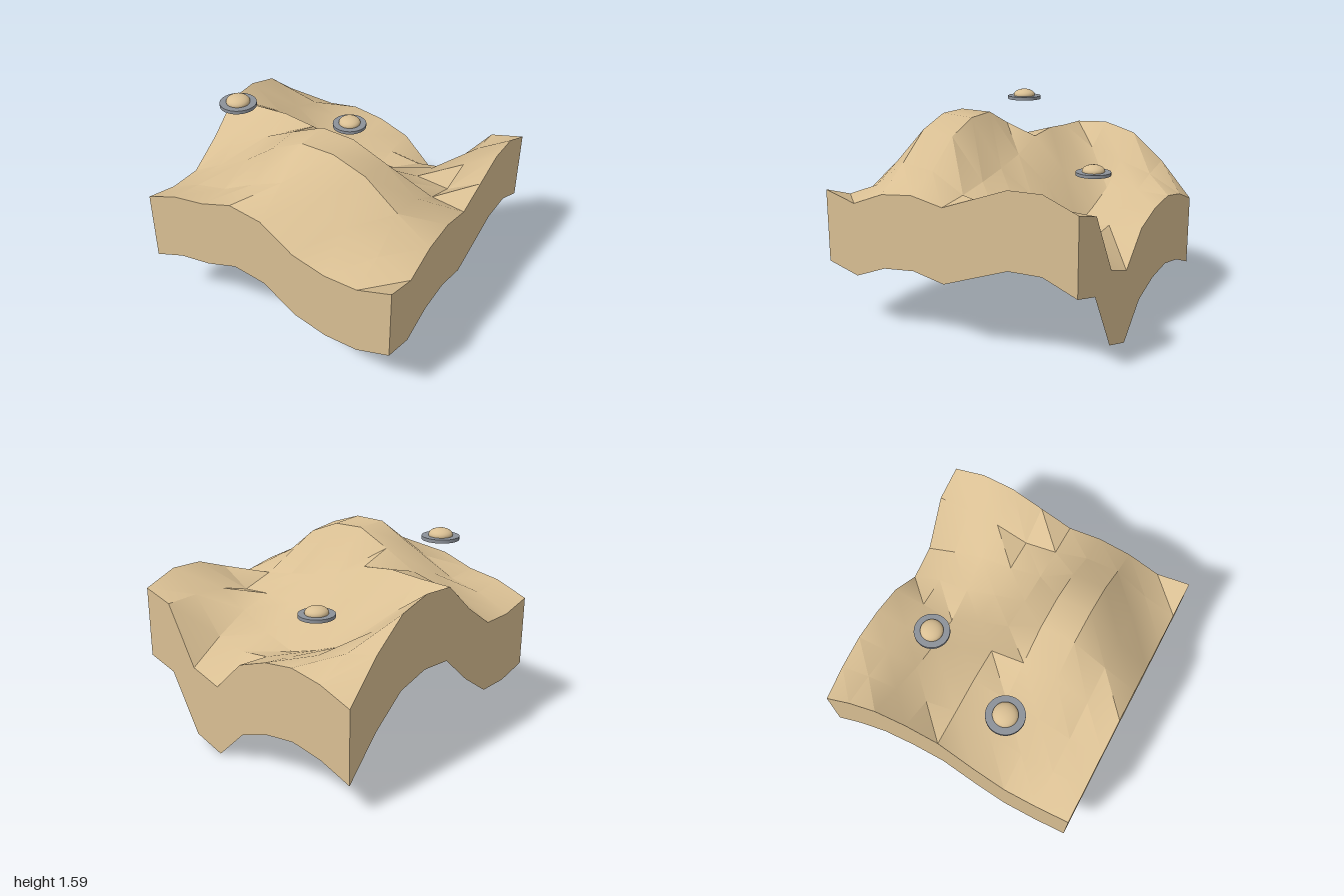
import * as THREE from 'three';
import { toCreasedNormals } from 'three/addons/utils/BufferGeometryUtils.js';

const sand = new THREE.MeshStandardMaterial({ color: 0xd9bf93, side: THREE.DoubleSide });
sand.name = 'sand';
const metal = new THREE.MeshStandardMaterial({ color: 0x8c9199 });
metal.name = 'metal';

const CELL = 0.25;
const SKIRT = 0.533;

// Ground heights: rows from back (z = -1) to front (z = 1), columns from x = -1 to x = 1
const HEIGHTS = [
  [0.77, 0.86, 0.90, 0.865, 0.775, 0.535, 0.61, 1.04, 1.105],
  [1.05, 0.99, 0.91, 0.83, 0.76, 0.73, 0.78, 1.05, 1.205],
  [1.255, 1.07, 0.90, 0.80, 0.72, 0.80, 0.92, 1.04, 1.20],
  [1.325, 1.15, 1.09, 1.05, 1.00, 0.98, 0.99, 0.97, 1.11],
  [1.31, 1.315, 1.33, 1.30, 1.20, 1.14, 1.09, 1.05, 1.02],
  [1.09, 1.20, 1.26, 1.385, 1.50, 1.49, 1.39, 1.19, 1.07],
  [0.92, 1.06, 1.19, 1.38, 1.505, 1.505, 1.42, 1.22, 1.045],
  [0.92, 1.03, 1.09, 1.22, 1.33, 1.26, 1.16, 1.03, 0.95],
  [0.98, 1.075, 1.115, 1.20, 1.165, 1.00, 0.935, 0.935, 1.02],
];

// Ground sheet with a skirt of four walls below its edges, open underneath
function makeTerrain() {
  const geometry = new THREE.BoxGeometry(2, SKIRT, 2, 8, 1, 8);
  const bottom = geometry.groups[3];
  const kept = Array.from(geometry.index.array);
  kept.splice(bottom.start, bottom.count);
  geometry.setIndex(kept);
  geometry.clearGroups();
  const p = geometry.attributes.position;
  for (let i = 0; i < p.count; i++) {
    const column = Math.round((p.getX(i) + 1) / CELL);
    const row = Math.round((p.getZ(i) + 1) / CELL);
    const drop = p.getY(i) > 0 ? 0 : SKIRT;
    p.setY(i, HEIGHTS[row][column] - drop);
  }
  const terrain = new THREE.Mesh(toCreasedNormals(geometry, 0.55), sand);
  terrain.name = 'terrain';
  return terrain;
}

// Hovering disc with a flattened dome through its middle
function makeSaucer(name, x, y, z) {
  const saucer = new THREE.Group();
  saucer.name = name;
  const rim = new THREE.Mesh(new THREE.CylinderGeometry(0.133, 0.133, 0.025, 32), metal);
  rim.name = 'rim';
  const dome = new THREE.Mesh(new THREE.SphereGeometry(0.086, 32, 16), sand);
  dome.name = 'dome';
  dome.scale.y = 0.54;
  dome.position.y = 0.02;
  saucer.add(rim, dome);
  saucer.position.set(x, y, z);
  return saucer;
}

export function createModel() {
  const model = new THREE.Group();
  model.name = 'terrainWithSaucers';
  model.add(
    makeTerrain(),
    makeSaucer('frontSaucer', -0.668, 1.527, 0.335),
    makeSaucer('backSaucer', -0.25, 1.062, -0.5),
  );
  return model;
}
